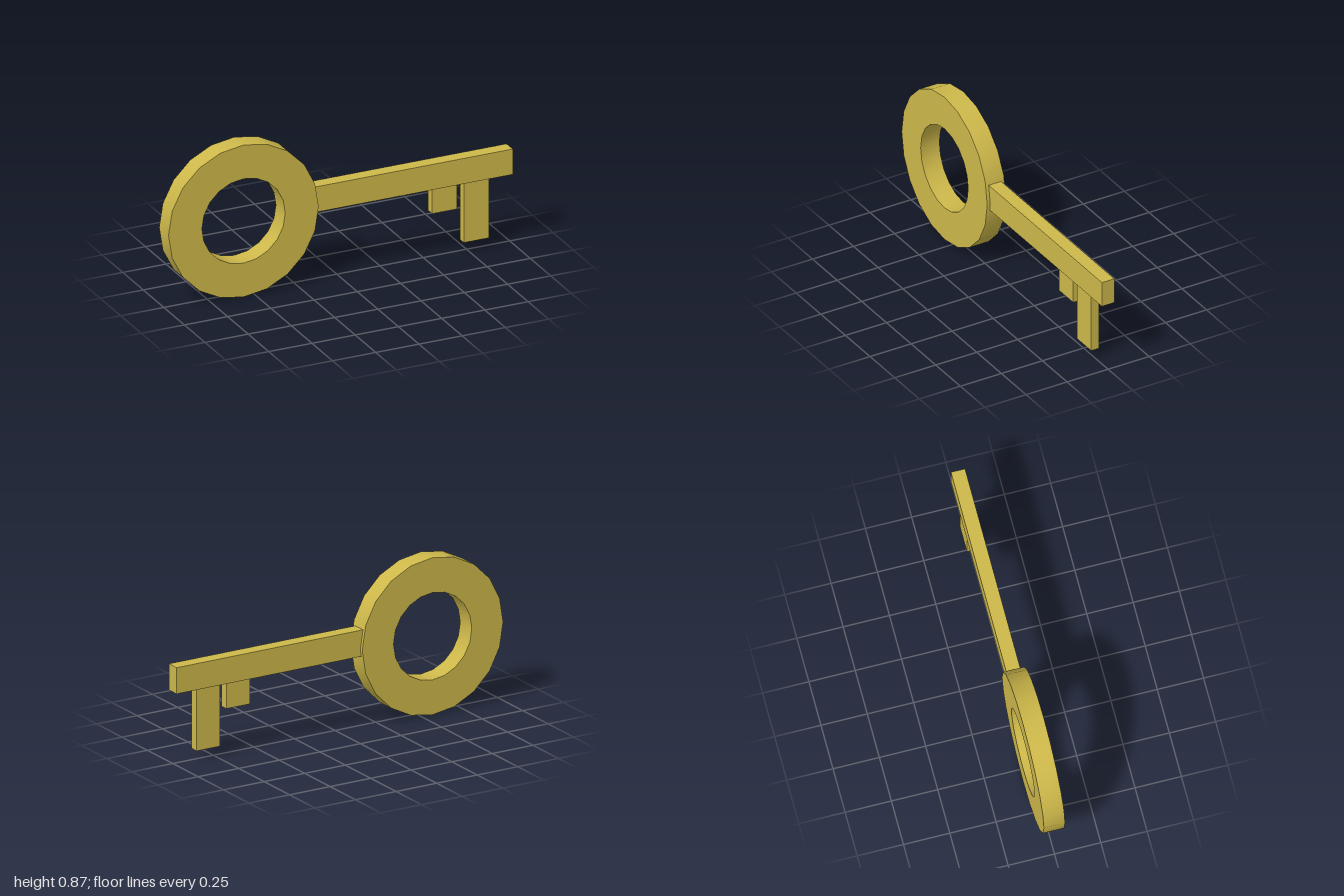
import * as THREE from 'three';
import { toCreasedNormals } from 'three/addons/utils/BufferGeometryUtils.js';

const SIDES = 20;

// Regular polygon outline around the origin
function polygon(radius) {
  return Array.from({ length: SIDES }, (_, i) => {
    const a = (i / SIDES) * Math.PI * 2;
    return new THREE.Vector2(Math.cos(a) * radius, Math.sin(a) * radius);
  });
}

export function createModel() {
  const key = new THREE.Group();
  key.name = 'key';
  const gold = new THREE.MeshStandardMaterial({ color: 0xcdb84a });

  // Box given by its x and y limits, centred on z = 0
  function addBar(name, x0, x1, y0, y1, depth) {
    const mesh = new THREE.Mesh(new THREE.BoxGeometry(x1 - x0, y1 - y0, depth), gold);
    mesh.position.set((x0 + x1) / 2, (y0 + y1) / 2, 0);
    mesh.name = name;
    key.add(mesh);
  }

  // Ring-shaped handle: smooth rims, sharp edges to the flat faces
  const outline = new THREE.Shape(polygon(0.434));
  outline.holes.push(new THREE.Path(polygon(0.241)));
  const depth = 0.114;
  const ringGeometry = new THREE.ExtrudeGeometry(outline, { depth, bevelEnabled: false });
  ringGeometry.translate(0, 0, -depth / 2);
  const ring = new THREE.Mesh(toCreasedNormals(ringGeometry, 0.6), gold);
  ring.position.set(-0.566, 0.434, 0);
  ring.name = 'handleRing';
  key.add(ring);

  // Shaft, starting inside the ring, and the two teeth below it
  addBar('shaft', -0.2, 1, 0.395, 0.54, 0.076);
  addBar('shortTooth', 0.54, 0.685, 0.252, 0.4, 0.048);
  addBar('longTooth', 0.723, 0.868, 0.052, 0.4, 0.048);

  return key;
}
